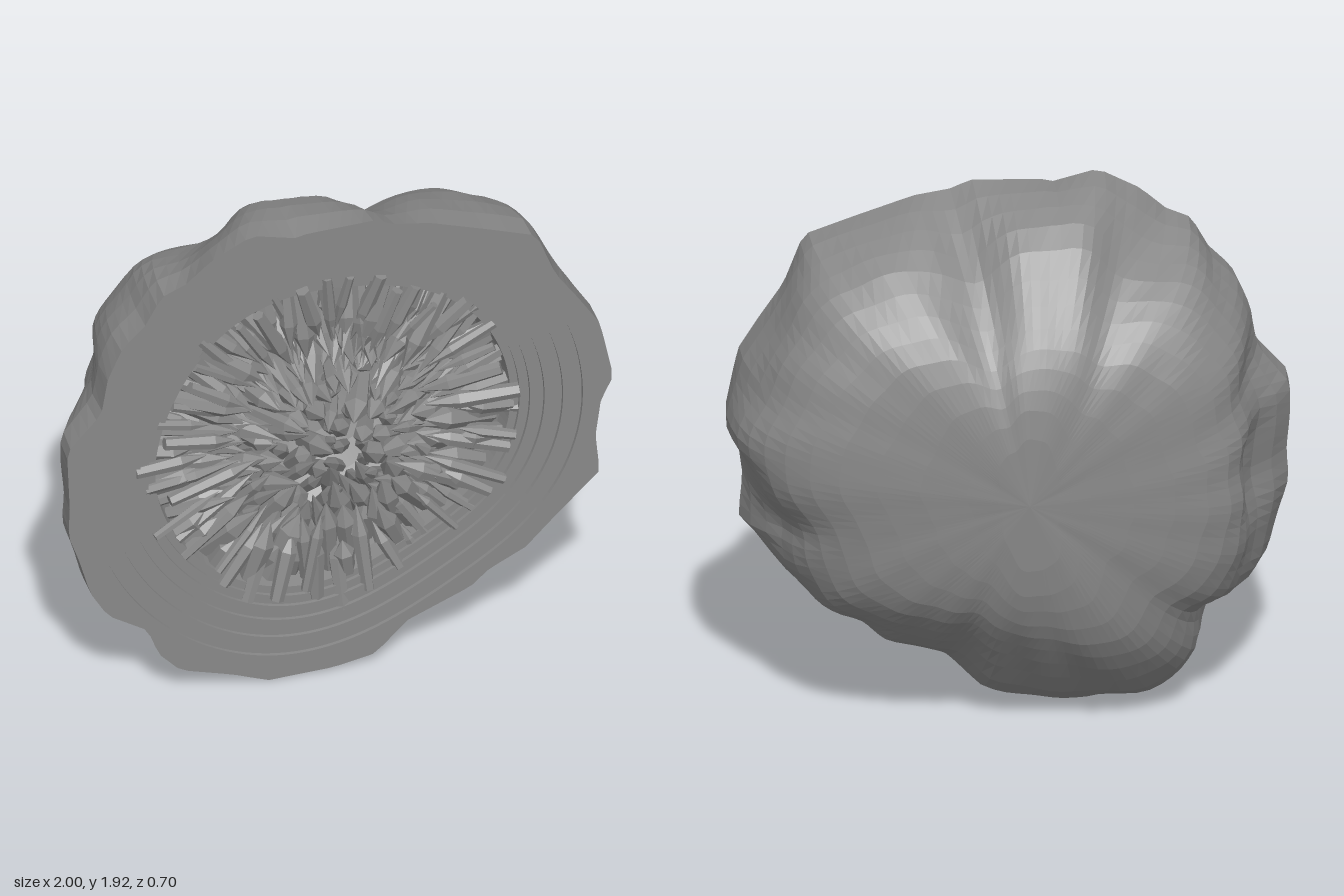
import * as THREE from 'three';
import { mergeGeometries } from 'three/addons/utils/BufferGeometryUtils.js';

const N = 144, CY = 0.97, FRONT = 0.35, TAU = Math.PI * 2;

// Outline of the cut face (x, y), counter-clockwise
const OUTLINE = [
  [1, 1.07], [0.97, 1.22], [0.95, 1.31], [0.88, 1.42], [0.79, 1.55], [0.72, 1.73], [0.545, 1.79], [0.33, 1.86],
  [0.2, 1.88], [0.13, 1.91], [-0.12, 1.9], [-0.16, 1.89], [-0.32, 1.93], [-0.47, 1.85], [-0.56, 1.77],
  [-0.65, 1.73], [-0.71, 1.62], [-0.79, 1.54], [-0.845, 1.42], [-0.87, 1.27], [-0.95, 1.18], [-0.995, 1.13],
  [-0.985, 0.885], [-0.99, 0.77], [-0.95, 0.655], [-0.91, 0.51], [-0.845, 0.4], [-0.7, 0.31], [-0.66, 0.2],
  [-0.58, 0.115], [-0.39, 0.06], [-0.26, 0.01], [-0.02, 0.02], [0.13, 0.05], [0.25, 0.17], [0.48, 0.27],
  [0.545, 0.33], [0.68, 0.4], [0.785, 0.51], [0.95, 0.675], [0.935, 0.83], [0.955, 0.98],
];

// Swellings and valleys of the rear dome: angle in degrees, width, height
const LOBES = [
  [8, 9, 0.03], [36, 9, 0.02], [77, 9, -0.11], [118, 10, -0.11], [150, 10, 0.03],
  [222, 6, -0.05], [243, 10, 0.07], [290, 9, -0.04], [345, 9, -0.08],
];

let seed = 7;
const rand = () => (seed = (seed * 16807) % 2147483647) / 2147483647;
const range = (a, b) => a + (b - a) * rand();

// Distance from the centre to the outline at an angle (ray against each edge)
function outlineRadius(t) {
  const c = Math.cos(t), s = Math.sin(t);
  for (let i = 0; i < OUTLINE.length; i++) {
    const [ax, ay] = OUTLINE[i], [bx, by] = OUTLINE[(i + 1) % OUTLINE.length];
    const pa = c * (ay - CY) - s * ax, pb = c * (by - CY) - s * bx;
    if (pa <= 0 && pb > 0) {
      const k = pa / (pa - pb);
      const r = c * (ax + (bx - ax) * k) + s * (ay - CY + (by - ay) * k);
      if (r > 0) return r;
    }
  }
  return 0.95;
}

const rough = Array.from({ length: N }, (_, j) => outlineRadius((j / N) * TAU));
const smoothed = (width) => rough.map((_, j) => {
  let sum = 0, total = 0;
  for (let k = -width; k <= width; k++) {
    const w = 1 + Math.cos((k / (width + 1)) * Math.PI);
    sum += w * rough[(j + k + N) % N];
    total += w;
  }
  return sum / total;
});
const soft = smoothed(14), lumpy = smoothed(4);

// A ring of points from a radius rule
const ring = (radius, z, cy = CY) => Array.from({ length: N }, (_, j) => {
  const t = (j / N) * TAU, r = radius(j, t);
  return [r * Math.cos(t), Math.max(0, cy + r * Math.sin(t)), z];
});

// Flat-faced skin between successive rings
function loft(rings) {
  const pos = [], index = [];
  rings.forEach((r) => r.forEach((p) => pos.push(...p)));
  for (let i = 0; i < rings.length - 1; i++) {
    for (let j = 0; j < N; j++) {
      const k = (j + 1) % N;
      const a = i * N + j, b = i * N + k, c = b + N, d = a + N;
      index.push(a, d, b, b, d, c);
    }
  }
  const g = new THREE.BufferGeometry();
  g.setAttribute('position', new THREE.Float32BufferAttribute(pos, 3));
  g.setIndex(index);
  const flat = g.toNonIndexed();
  flat.computeVertexNormals();
  return flat;
}

// Rounded bump around an angle given in degrees
function bump(t, deg, width) {
  let d = (t * 180) / Math.PI - deg;
  d -= 360 * Math.round(d / 360);
  return Math.exp(-((d / width) ** 2));
}

// Lumpy rear dome from the cut edge to the back pole:
// depth, scale at the sides, scale at top and bottom
function shellGeometry() {
  const profile = [
    [0.35, 1, 1], [0.24, 1, 1], [0.14, 0.985, 0.98], [0.05, 0.965, 0.945], [-0.03, 0.94, 0.88],
    [-0.1, 0.9, 0.79], [-0.16, 0.84, 0.71], [-0.21, 0.76, 0.64], [-0.25, 0.66, 0.58], [-0.28, 0.53, 0.52],
    [-0.305, 0.38, 0.45], [-0.323, 0.22, 0.38], [-0.338, 0.11, 0.27], [-0.35, 0, 0],
  ];
  return loft(profile.map(([z, side, vertical], i) => {
    const u = i / (profile.length - 1);
    const bulge = Math.min(1, u * 4);
    const waist = 0.15 * Math.exp(-(((z + 0.02) / 0.17) ** 2)) * Math.min(1, u * 6);
    return ring((j, t) => {
      const s = side + (vertical - side) * Math.sin(t) ** 4;
      const swell = LOBES.reduce((sum, [deg, width, height]) => sum + height * bump(t, deg, width), 0);
      const ripple = 0.008 * Math.sin(11 * t + 5 * u) + 0.006 * Math.sin(23 * t - 9 * u);
      const edge = rough[j] + (lumpy[j] - rough[j]) * Math.min(1, u * 2.2);
      return s * (edge + (swell + ripple) * bulge - waist * bump(t, 184, 24));
    }, z, CY - 0.02 * u);
  }));
}

// Growth bands: shallow terraces stepping down toward the cavity
function bandGeometry() {
  const rings = [ring((j) => rough[j], FRONT)];
  let z = FRONT;
  for (const s of [0.91, 0.84, 0.775, 0.725, 0.69]) {
    const edge = (j) => soft[j] * s;
    rings.push(ring(edge, z));
    z -= 0.014;
    rings.push(ring(edge, z));
  }
  rings.push(ring((j) => soft[j] * 0.66, z));
  return loft(rings.reverse());
}

// Bowl behind the crystals
function cavityGeometry() {
  const rings = [];
  for (let i = 0; i <= 10; i++) {
    const a = (i / 10) * Math.PI / 2;
    rings.push(ring((j) => soft[j] * 0.66 * Math.sin(a), 0.28 - 0.44 * Math.cos(a)));
  }
  return loft(rings);
}

// One six-sided crystal: shaft, chiselled tip, closed base
function crystal(base, dir, length, radius) {
  const g = new THREE.LatheGeometry([
    new THREE.Vector2(0, 0), new THREE.Vector2(radius * 0.8, 0),
    new THREE.Vector2(radius, length * range(0.5, 0.75)), new THREE.Vector2(0, length),
  ], 6);
  g.rotateY(rand() * TAU);
  g.applyQuaternion(new THREE.Quaternion().setFromUnitVectors(new THREE.Vector3(0, 1, 0), dir));
  g.translate(base.x, base.y, base.z);
  const p = g.attributes.position;
  for (let i = 0; i < p.count; i++) p.setZ(i, Math.min(p.getZ(i), FRONT - 0.005));
  const flat = g.toNonIndexed();
  flat.computeVertexNormals();
  return flat;
}

// Crystals spread over the bowl by a golden-angle spiral, pointing inward
function crystalGeometry() {
  const list = [], count = 300;
  for (let i = 0; i < count; i++) {
    const t = (i * 2.39996) % TAU, depth = (i + 0.5) / count;
    const r = soft[Math.floor((t / TAU) * N) % N] * 0.67 * Math.sqrt(1 - depth * depth);
    const base = new THREE.Vector3(r * Math.cos(t), CY + r * Math.sin(t), 0.26 - 0.41 * depth);
    const dir = new THREE.Vector3(-0.02, CY, 0.3 + 0.15 * depth).sub(base).normalize();
    dir.add(new THREE.Vector3(range(-0.2, 0.2), range(-0.2, 0.2), range(-0.1, 0.16))).normalize();
    list.push(crystal(base, dir, range(0.14, 0.34), range(0.022, 0.046)));
  }
  // Long rim crystals whose bases show on the inner bands
  for (let i = 0; i < 46; i++) {
    const t = ((i + range(-0.3, 0.3)) / 46) * TAU, r = range(0.61, 0.74);
    const base = new THREE.Vector3(r * Math.cos(t), CY + r * Math.sin(t), range(0.27, 0.31));
    const dir = new THREE.Vector3(-Math.cos(t + range(-0.12, 0.12)), -Math.sin(t), range(-0.25, 0)).normalize();
    list.push(crystal(base, dir, range(0.2, 0.36), range(0.018, 0.034)));
  }
  return mergeGeometries(list);
}

export function createModel() {
  const group = new THREE.Group();
  group.name = 'geodeHalf';
  const stone = new THREE.MeshStandardMaterial({ color: 0x888888, flatShading: true });
  const parts = {
    outerShell: shellGeometry(), growthBands: bandGeometry(),
    cavityWall: cavityGeometry(), crystals: crystalGeometry(),
  };
  for (const [name, geometry] of Object.entries(parts)) {
    const mesh = new THREE.Mesh(geometry, stone);
    mesh.name = name;
    group.add(mesh);
  }
  return group;
}
